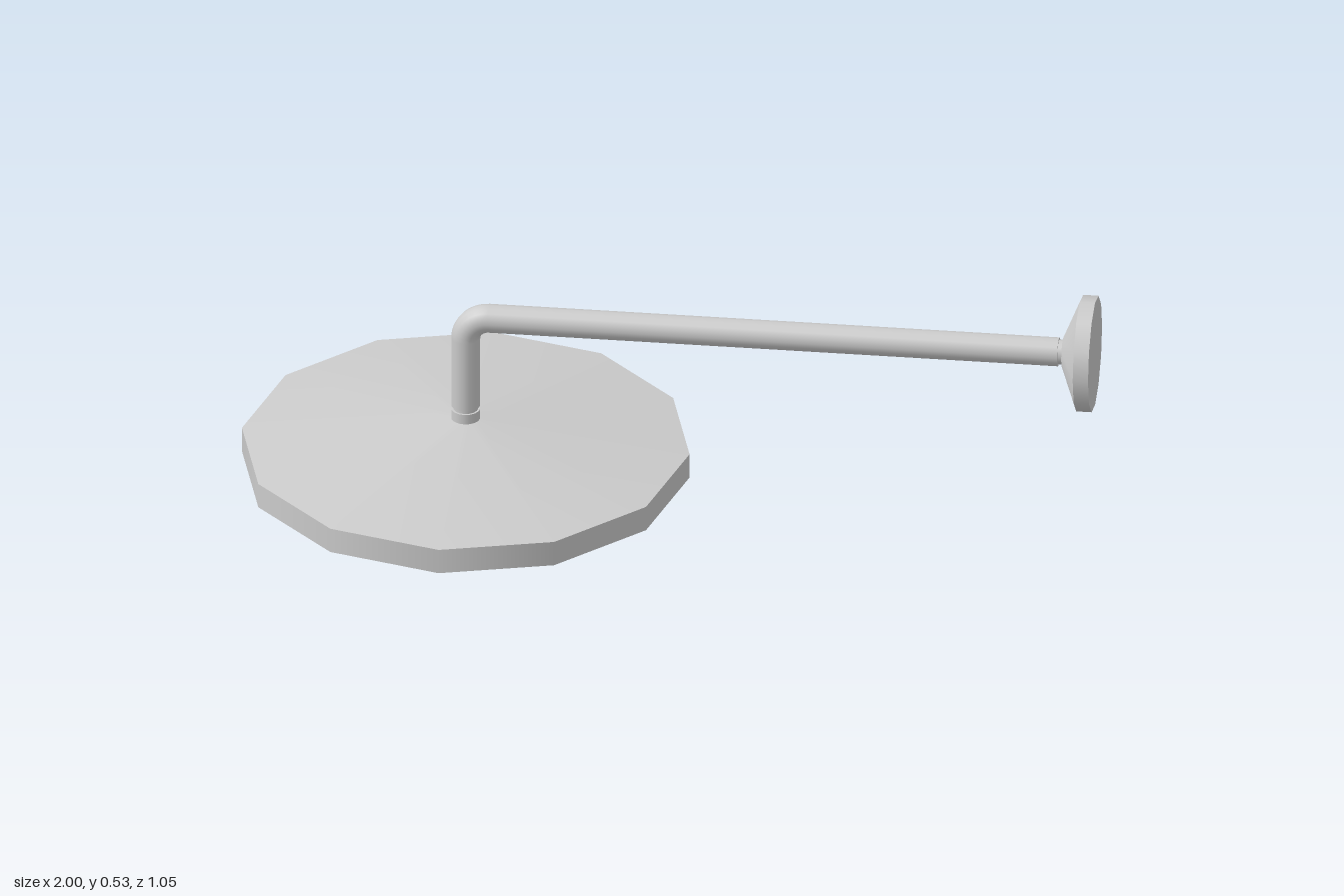
import * as THREE from 'three';

export function createModel() {
  const model = new THREE.Group();
  const material = new THREE.MeshStandardMaterial({ color: 0xcccccc });

  const headX = -0.476, armY = 0.393, pipeR = 0.034, neckR = 0.029, bendR = 0.055;

  const add = (parent, name, geometry) => {
    const mesh = new THREE.Mesh(geometry, material);
    mesh.name = name;
    parent.add(mesh);
    return mesh;
  };
  // Round section running from height a to b along the local y axis
  const section = (parent, name, a, b, rA, rB, sides, open = false) => {
    const mesh = add(parent, name, new THREE.CylinderGeometry(rB, rA, b - a, sides, 1, open));
    mesh.position.y = (a + b) / 2;
  };

  // Shower head with its collar and down pipe, stacked upwards
  const head = new THREE.Group();
  head.name = 'showerHead';
  head.position.x = headX;
  section(head, 'headRim', 0, 0.062, 0.525, 0.525, 12);
  section(head, 'headCone', 0.062, 0.125, 0.525, pipeR, 12, true);
  section(head, 'collar', 0.125, 0.15, pipeR, pipeR, 16);
  section(head, 'collarGroove', 0.15, 0.159, neckR, neckR, 16);
  section(head, 'downPipe', 0.159, armY - bendR, pipeR, pipeR, 16);
  model.add(head);

  // Quarter bend joining the down pipe to the arm
  const elbow = add(model, 'elbow', new THREE.TorusGeometry(bendR, pipeR, 16, 8, Math.PI / 2));
  elbow.rotation.z = Math.PI / 2;
  elbow.position.set(headX + bendR, armY - bendR, 0);

  // Arm and wall flange, stacked along +x
  const arm = new THREE.Group();
  arm.name = 'wallArm';
  arm.rotation.z = -Math.PI / 2;
  arm.position.y = armY;
  section(arm, 'armPipe', headX + bendR, 0.915, pipeR, pipeR, 16);
  section(arm, 'armGroove', 0.915, 0.925, neckR, neckR, 16);
  section(arm, 'flangeCone', 0.925, 0.964, 0.037, 0.136, 12);
  section(arm, 'flangeDisc', 0.964, 1, 0.136, 0.136, 12);
  model.add(arm);

  return model;
}
